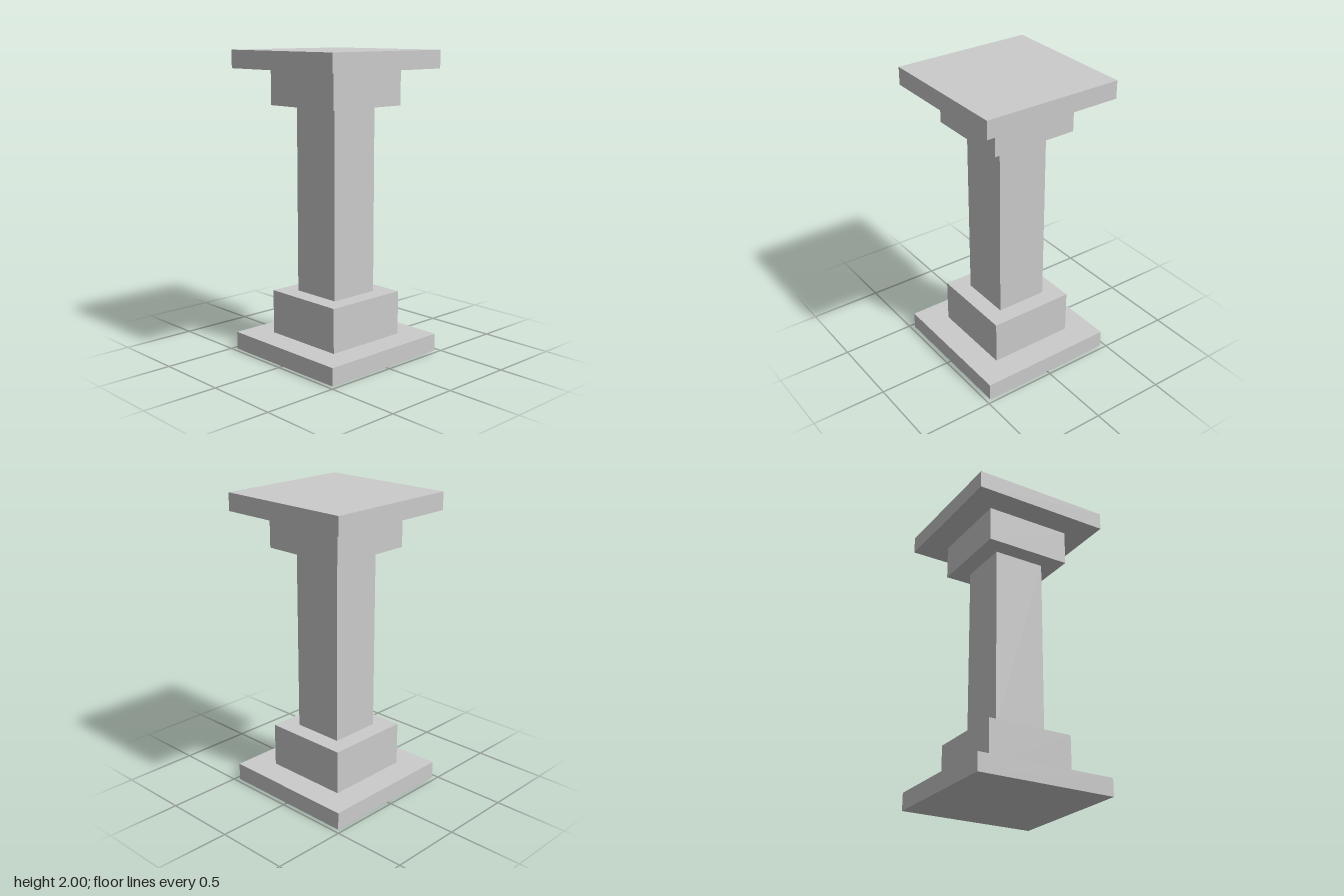
import * as THREE from 'three';

// One modelling unit: the pillar is 34 units tall
const U = 2 / 34;

// Square tiers from the ground up: name, width, height (in units)
const TIERS = [
  ['basePlinth', 16, 2],
  ['baseBlock', 10, 5],
  ['shaft', 6, 21],
  ['capitalBlock', 10, 4],
  ['topSlab', 16, 2],
];

export function createModel() {
  const pillar = new THREE.Group();
  pillar.name = 'pillar';
  const material = new THREE.MeshStandardMaterial({ color: 0xcccccc, flatShading: true });

  // Stack each tier on the one below
  let y = 0;
  for (const [name, width, height] of TIERS) {
    const tier = new THREE.Mesh(new THREE.BoxGeometry(width * U, height * U, width * U), material);
    tier.name = name;
    tier.position.y = (y + height / 2) * U;
    pillar.add(tier);
    y += height;
  }
  return pillar;
}
